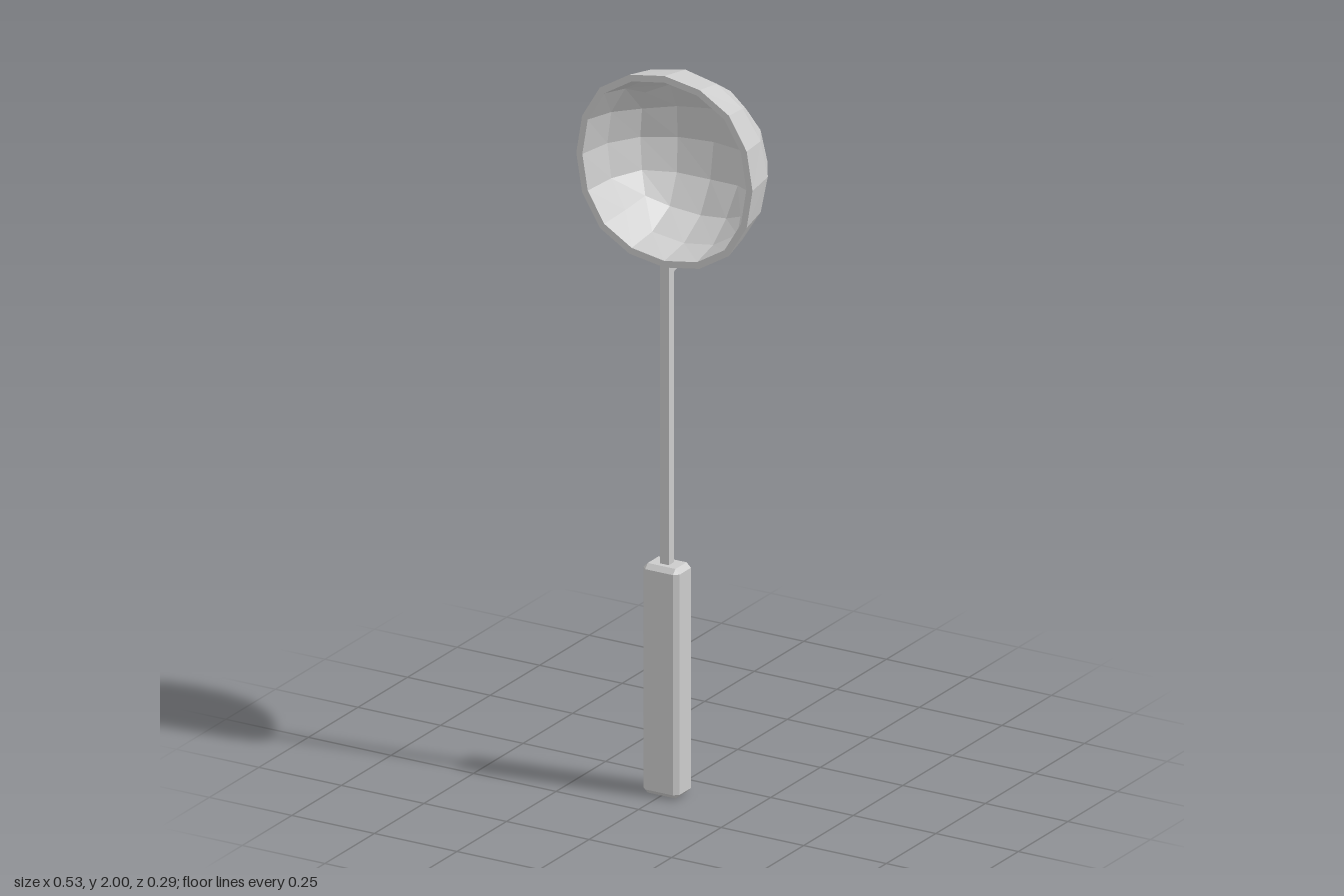
import * as THREE from 'three';
import { ConvexGeometry } from 'three/addons/geometries/ConvexGeometry.js';

const BOWL = { y: 1.734, z: 0.12, outer: 0.304, inner: 0.283 };

// Rounded-cube rule: grid point (each axis -2..2) to smoothed position, keyed by sorted distances
const SMOOTH = {
  '200': { 2: 0.878, 0: 0 },
  '210': { 2: 0.82, 1: 0.35, 0: 0 },
  '220': { 2: 0.643, 0: 0 },
  '211': { 2: 0.764, 1: 0.326 },
  '221': { 2: 0.599, 1: 0.302 },
  '222': { 2: 0.509 },
};

function smoothPoint(x, y, z, scale) {
  const p = [x, y, z].map(Math.round);
  const rule = SMOOTH[p.map(Math.abs).sort((a, b) => b - a).join('')];
  return p.map((v) => Math.sign(v) * rule[Math.abs(v)] * scale);
}

// Half of the rounded cube, open towards +z
function bowlShell(scale, inward) {
  const box = new THREE.BoxGeometry(4, 4, 2, 4, 4, 2).translate(0, 0, -1);
  const open = box.groups[4];
  const index = Array.from(box.index.array);
  index.splice(open.start, open.count);
  if (inward) index.reverse();
  box.setIndex(index);
  box.clearGroups();
  // Unsharing the corners also drops the points of the removed front face
  const geo = box.toNonIndexed();
  const pos = geo.attributes.position;
  for (let i = 0; i < pos.count; i++) {
    pos.setXYZ(i, ...smoothPoint(pos.getX(i), pos.getY(i), pos.getZ(i), scale));
  }
  geo.computeVertexNormals();
  return geo;
}

// The 16 points around the open edge, counter-clockwise
function rimPoints(scale) {
  const wave = (k) => Math.max(-2, Math.min(2, Math.abs((k % 16) - 8) - 4));
  return Array.from({ length: 16 }, (_, k) => {
    const [x, y] = smoothPoint(wave(k), wave(k + 12), 0, scale);
    return new THREE.Vector2(x, y);
  });
}

// Box with every edge cut by a flat chamfer
function chamferBox(w, h, d, c) {
  const points = [];
  for (const sx of [-1, 1]) for (const sy of [-1, 1]) for (const sz of [-1, 1]) {
    for (let full = 0; full < 3; full++) {
      const [x, y, z] = [w, h, d].map((s, i) => s / 2 - (i === full ? 0 : c));
      points.push(new THREE.Vector3(sx * x, sy * y, sz * z));
    }
  }
  return new ConvexGeometry(points);
}

export function createModel() {
  const group = new THREE.Group();
  const material = new THREE.MeshStandardMaterial({ color: 0xcccccc, flatShading: true });
  const add = (name, geometry, parent = group) => {
    const mesh = new THREE.Mesh(geometry, material);
    mesh.name = name;
    parent.add(mesh);
    return mesh;
  };

  // Ladle bowl: outer and inner shells joined by a flat rim
  const bowl = new THREE.Group();
  bowl.name = 'bowl';
  bowl.position.set(0, BOWL.y, BOWL.z);
  group.add(bowl);
  add('bowlOuter', bowlShell(BOWL.outer, false), bowl);
  add('bowlInner', bowlShell(BOWL.inner, true), bowl);
  const rim = new THREE.Shape(rimPoints(BOWL.outer));
  rim.holes.push(new THREE.Path(rimPoints(BOWL.inner)));
  add('bowlRim', new THREE.ShapeGeometry(rim), bowl);

  // Thin square rod, its tip bent back under the bowl (side profile: z, y)
  const width = 0.027;
  const profile = new THREE.Shape([
    [0.094, 0.62], [0.12, 0.62], [0.12, 1.472], [0.04, 1.486],
    [0.028, 1.482], [0.034, 1.465], [0.094, 1.45],
  ].map(([z, y]) => new THREE.Vector2(z, y)));
  const rod = new THREE.ExtrudeGeometry(profile, { depth: width, bevelEnabled: false });
  add('rod', rod.translate(0, 0, -width / 2).rotateY(-Math.PI / 2));

  // Grip
  add('handle', chamferBox(0.11, 0.64, 0.082, 0.013)).position.set(0, 0.32, 0.106);

  return group;
}
